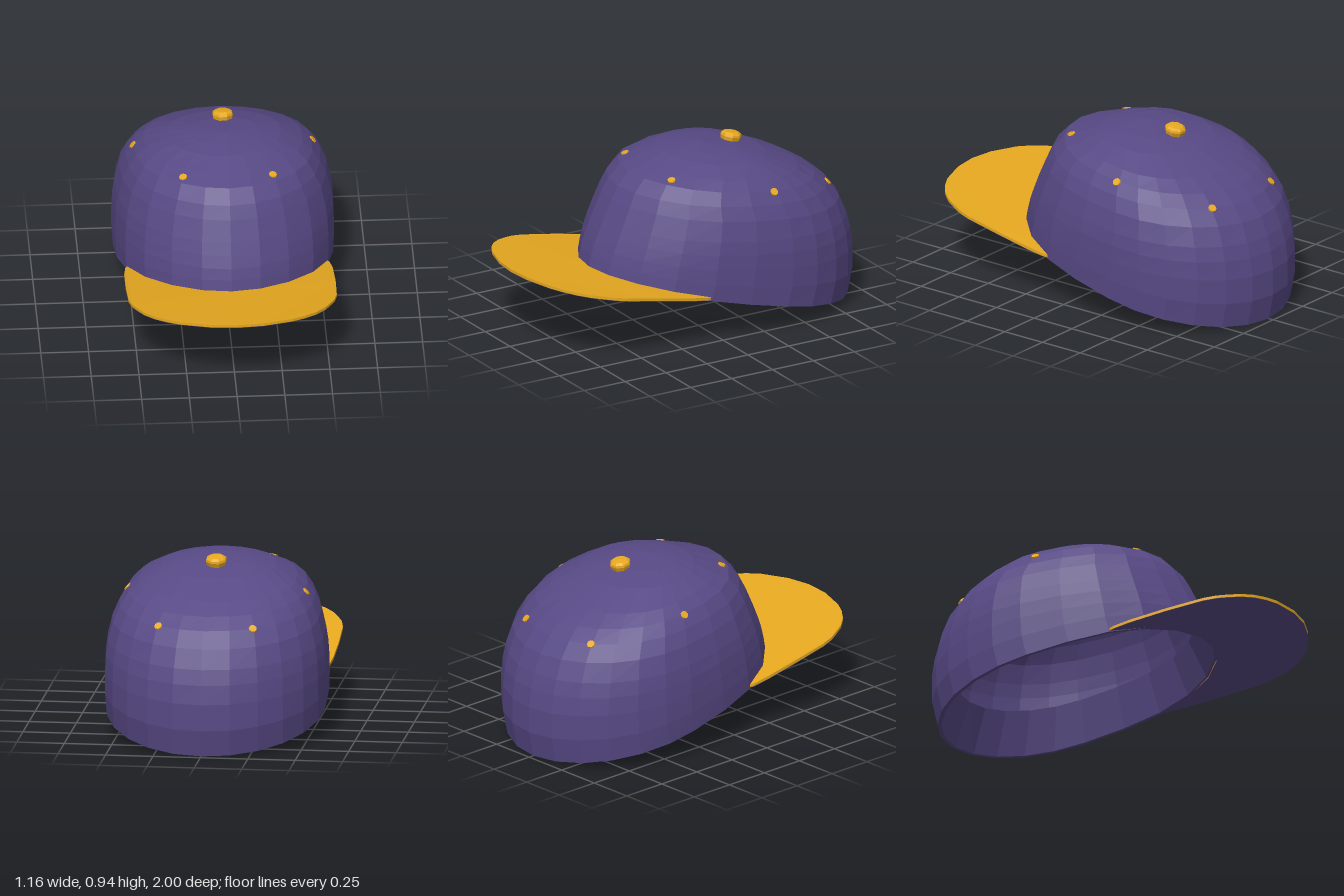
import * as THREE from 'three';

const purple = new THREE.MeshStandardMaterial({ color: 0x574985, flatShading: true, side: THREE.DoubleSide });
purple.name = 'purple cloth';
const gold = new THREE.MeshStandardMaterial({ color: 0xe6a81f, flatShading: true, side: THREE.DoubleSide });
gold.name = 'gold trim';

const SEGMENTS = 24;

// Tilted egg-shaped rings: [front z, front y, back z, back y, half width]
const OUTER = [
  [0.52, 0.345, -0.97, 0, 0.576],
  [0.505, 0.41, -1, 0.14, 0.582],
  [0.487, 0.467, -1, 0.28, 0.581],
  [0.46, 0.53, -0.985, 0.38, 0.577],
  [0.43, 0.595, -0.963, 0.46, 0.567],
  [0.38, 0.70, -0.92, 0.56, 0.543],
  [0.342, 0.768, -0.855, 0.645, 0.51],
  [0.275, 0.835, -0.78, 0.706, 0.468],
  [0.17, 0.868, -0.68, 0.765, 0.415],
  [0.06, 0.903, -0.50, 0.85, 0.30],
  [-0.03, 0.916, -0.35, 0.896, 0.185],
  [-0.14, 0.925, -0.16, 0.925, 0.01],
];
// Lining, set inside the crown and listed from the top down
const WALL = 0.02;
const INNER = OUTER.slice(0, -1).map(([fz, fy, bz, by, w], i) => {
  const drop = WALL * i / 10;
  return [fz - WALL, fy - drop, bz + WALL, by - drop, w - WALL];
}).reverse();
// Inner band leaning in from the opening
const BAND_TOP = [0.40, 0.54, -0.87, 0.245, 0.50];

function ringPoint([fz, fy, bz, by, w], angle) {
  const s = Math.sin(angle), c = Math.cos(angle);
  const mid = bz + (fz - bz) * 0.416;
  const fuller = c > 0 ? 1 + 0.3 * c * c * s * s : 1; // squarer towards the front
  const z = mid + c * (c > 0 ? fz - mid : mid - bz);
  return new THREE.Vector3(w * s * fuller, by + (fy - by) * (z - bz) / (fz - bz), z);
}

function loft(rings) {
  const positions = [], index = [];
  rings.forEach((ring, r) => {
    for (let i = 0; i < SEGMENTS; i++) {
      positions.push(...ringPoint(ring, i / SEGMENTS * Math.PI * 2).toArray());
      if (r === rings.length - 1) continue;
      const a = r * SEGMENTS + i, b = r * SEGMENTS + (i + 1) % SEGMENTS;
      index.push(a, b, b + SEGMENTS, a, b + SEGMENTS, a + SEGMENTS);
    }
  });
  // Close the outer tip and the lining tip
  const last = (rings.length - 1) * SEGMENTS;
  for (let i = 1; i < SEGMENTS - 1; i++) {
    index.push(last, last + i, last + i + 1, 0, i + 1, i);
  }
  const geometry = new THREE.BufferGeometry();
  geometry.setAttribute('position', new THREE.Float32BufferAttribute(positions, 3));
  geometry.setIndex(index);
  geometry.computeVertexNormals();
  return geometry;
}

// Plan outline of the brim, its back edge tucked into the crown wall
function brimShape() {
  const side = [[0.535, 0.11], [0.546, 0.2], [0.55, 0.4], [0.545, 0.6], [0.53, 0.67], [0.508, 0.72],
    [0.475, 0.785], [0.425, 0.845], [0.365, 0.892], [0.295, 0.932], [0.14, 0.982]];
  const points = side.map(([x, z]) => new THREE.Vector2(x, z));
  points.push(new THREE.Vector2(0, 0.997));
  side.slice().reverse().forEach(([x, z]) => points.push(new THREE.Vector2(-x, z)));
  const tuck = [0.512, 0.342, -0.96, 0, 0.57];
  for (let i = -4; i <= 4; i++) {
    const p = ringPoint(tuck, i / SEGMENTS * Math.PI * 2);
    points.push(new THREE.Vector2(p.x, p.z));
  }
  return new THREE.Shape(points);
}

// Lay a flat shape down and slope it up towards the front
function layBrim(geometry, drop) {
  geometry.rotateX(Math.PI / 2);
  const p = geometry.attributes.position;
  for (let i = 0; i < p.count; i++) {
    const t = p.getZ(i) - 0.12;
    p.setY(i, p.getY(i) - drop + 0.273 + 0.215 * t - 0.0375 * t * t);
  }
  geometry.computeVertexNormals();
  return geometry;
}

export function createModel() {
  const model = new THREE.Group();
  model.name = 'cap';
  const add = (name, geometry, material) => {
    const mesh = new THREE.Mesh(geometry, material);
    mesh.name = name;
    model.add(mesh);
    return mesh;
  };

  // Crown, lining and inner band as one closed shell
  const crown = add('crown', loft([...INNER, BAND_TOP, INNER.at(-1), ...OUTER]), purple);

  // Brim and its cloth underside
  const shape = brimShape();
  add('brim', layBrim(new THREE.ExtrudeGeometry(shape, { depth: 0.015, bevelEnabled: false }), 0), gold);
  add('brimUnderside', layBrim(new THREE.ShapeGeometry(shape), 0.017), purple);

  // Button on top
  const profile = [[0, -0.025], [0.05, -0.025], [0.057, 0], [0.054, 0.012], [0.04, 0.022], [0, 0.024]];
  const button = add('button',
    new THREE.LatheGeometry(profile.map(([x, y]) => new THREE.Vector2(x, y)), 8), gold);
  button.position.set(0, 0.915, -0.35);
  button.rotation.set(-0.2, Math.PI / 8, 0);

  // Eyelets set flush on the crown, tipped slightly upwards
  const centre = new THREE.Vector3(0, 0.45, -0.25);
  const up = new THREE.Vector3(0, 1, 0);
  for (const [x, y, z] of [[0.235, 0.84, 0.155], [0.472, 0.757, -0.33], [0.235, 0.64, -0.76]]) {
    for (const side of [1, -1]) {
      const spot = new THREE.Vector3(side * x, y, z);
      const out = spot.clone().sub(centre).normalize();
      const ray = new THREE.Raycaster(spot.clone().addScaledVector(out, 0.3), out.clone().negate());
      const hit = ray.intersectObject(crown)[0];
      const eyelet = add('eyelet', new THREE.CylinderGeometry(0.021, 0.023, 0.01, 8), gold);
      eyelet.position.copy(hit.point);
      eyelet.quaternion.setFromUnitVectors(up, hit.face.normal.clone().addScaledVector(up, 0.2).normalize());
    }
  }
  return model;
}
